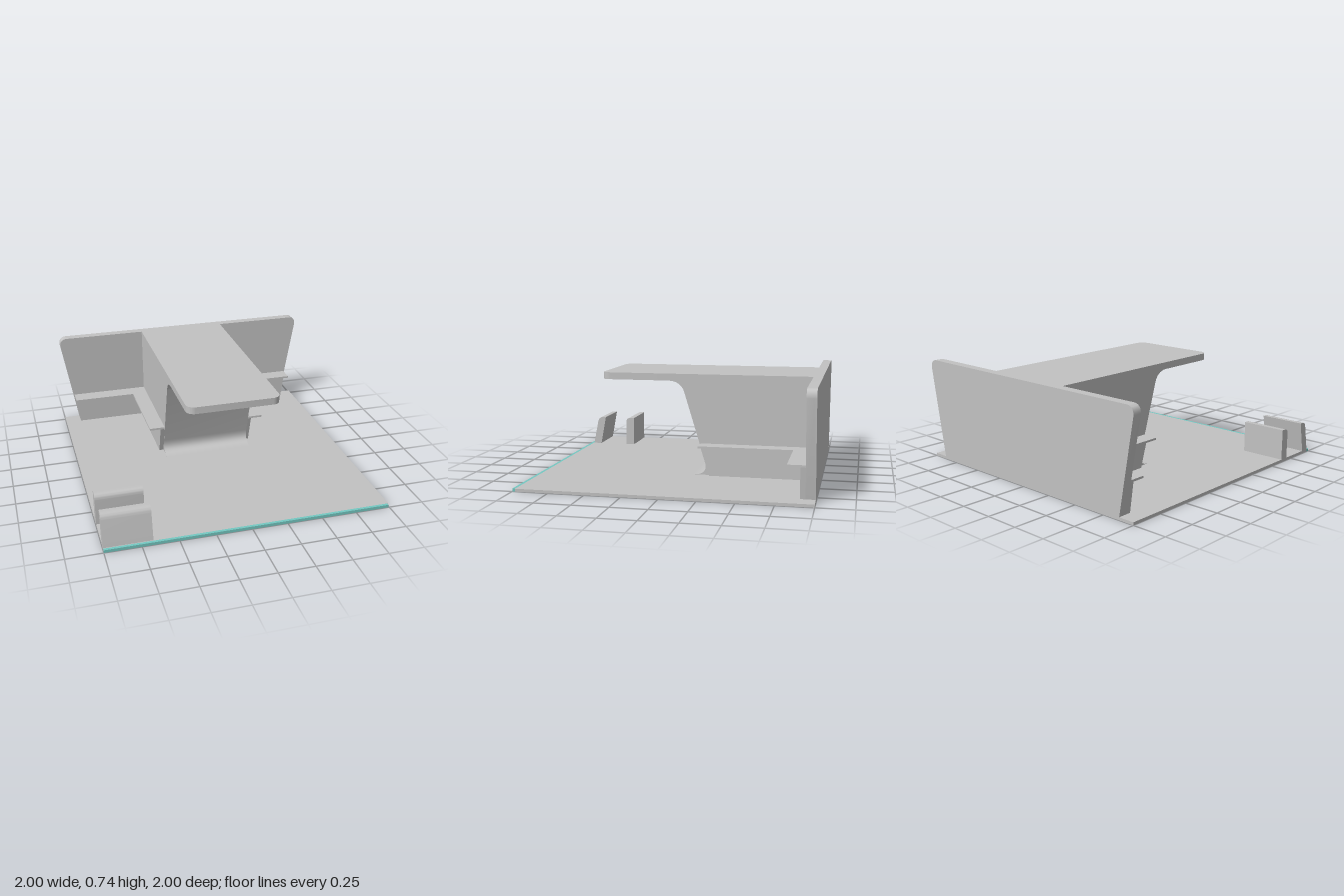
import * as THREE from 'three';
import { toCreasedNormals } from 'three/addons/utils/BufferGeometryUtils.js';

const grey = new THREE.MeshStandardMaterial({ color: 0xc2c2c2, side: THREE.DoubleSide });
grey.name = 'light grey';
const teal = new THREE.MeshStandardMaterial({ color: 0x74c8c2 });
teal.name = 'teal';

export function createModel() {
  const group = new THREE.Group();
  const add = (name, geometry, material = grey) => {
    const mesh = new THREE.Mesh(geometry, material);
    mesh.name = name;
    group.add(mesh);
    return mesh;
  };
  // box from its minimum and maximum corners
  const box = (name, a, b, material) => add(name, new THREE.BoxGeometry(b[0] - a[0], b[1] - a[1], b[2] - a[2])
    .translate((a[0] + b[0]) / 2, (a[1] + b[1]) / 2, (a[2] + b[2]) / 2), material);
  const extrude = (shape, depth) => toCreasedNormals(
    new THREE.ExtrudeGeometry(shape, { depth, bevelEnabled: false, curveSegments: 10 }), 0.6);
  const polygon = (points) => new THREE.Shape(points.map(([x, y]) => new THREE.Vector2(x, y)));
  // plan drawn as (x, z), raised from y0
  const plan = (name, shape, y0, height) => add(name, extrude(shape, height).rotateX(Math.PI / 2).translate(0, y0 + height, 0));
  // side profile drawn as (z, y), spanning x0 to x1
  const profile = (name, shape, x0, x1) => add(name, extrude(shape, x1 - x0).rotateY(-Math.PI / 2).translate(x1, 0, 0));

  const W = 0.333, TOP = 0.74, FLOOR = 0.02;

  // floor slab, open beneath the hollow pedestal
  plan('floor', polygon([[-1, -1], [-W, -1], [-W, -0.1], [W, -0.1], [W, -1], [1, -1], [1, 0.98], [-1, 0.98]]), 0, FLOOR);
  box('frontEdgeStrip', [-1, 0, 0.98], [0.993, FLOOR, 1], teal);

  // back panel: full skin plus a thick wing on each side
  const panel = new THREE.Shape();
  panel.moveTo(-0.88, 0);
  panel.lineTo(-0.998, 0.68);
  panel.quadraticCurveTo(-1, TOP, -0.94, TOP);
  panel.lineTo(0.94, TOP);
  panel.quadraticCurveTo(1, TOP, 0.998, 0.68);
  panel.lineTo(0.88, 0);
  add('backPanelSkin', extrude(panel, 0.01).translate(0, 0, -1));
  for (const s of [1, -1]) {
    const wing = new THREE.Shape();
    wing.moveTo(s * W, FLOOR);
    wing.lineTo(s * 0.883, FLOOR);
    wing.lineTo(s * 0.998, 0.68);
    wing.quadraticCurveTo(s, TOP, s * 0.94, TOP);
    wing.lineTo(s * W, TOP);
    add(s > 0 ? 'backPanelLeft' : 'backPanelRight', extrude(wing, 0.055).translate(0, 0, -0.99));
  }

  // front curve of the pedestal as (z, y)
  const curve = new THREE.Path();
  curve.moveTo(-0.1, FLOOR);
  curve.quadraticCurveTo(-0.209, FLOOR, -0.18, 0.12);
  curve.lineTo(-0.03, 0.61);
  curve.quadraticCurveTo(-0.006, 0.69, 0.09, 0.69);
  const points = curve.getPoints(12);

  // pedestal front skin
  const skin = [];
  for (let i = 0; i < points.length - 1; i++) {
    const a = points[i], b = points[i + 1];
    skin.push(-W, a.y, a.x, W, a.y, a.x, W, b.y, b.x, -W, a.y, a.x, W, b.y, b.x, -W, b.y, b.x);
  }
  const skinGeometry = new THREE.BufferGeometry();
  skinGeometry.setAttribute('position', new THREE.Float32BufferAttribute(skin, 3));
  add('pedestalFront', toCreasedNormals(skinGeometry, 0.6));

  // pedestal side walls
  const wall = new THREE.Shape([new THREE.Vector2(-0.99, FLOOR), ...points,
    new THREE.Vector2(0.09, TOP), new THREE.Vector2(-0.99, TOP)]);
  for (const s of [1, -1]) {
    const geometry = new THREE.ShapeGeometry(wall).rotateY(s > 0 ? -Math.PI / 2 : -Math.PI / 2);
    add(s > 0 ? 'pedestalLeftWall' : 'pedestalRightWall', geometry.translate(s * W, 0, 0));
  }
  box('pedestalTop', [-W, TOP - 0.01, -0.99], [W, TOP, 0.09]);

  // overhanging canopy with rounded front corners
  const canopy = new THREE.Shape();
  canopy.moveTo(-W, 0.09);
  canopy.lineTo(W, 0.09);
  canopy.lineTo(W, 0.515);
  canopy.absarc(W - 0.06, 0.515, 0.06, 0, Math.PI / 2);
  canopy.lineTo(-W + 0.06, 0.575);
  canopy.absarc(-W + 0.06, 0.515, 0.06, Math.PI / 2, Math.PI);
  plan('canopy', canopy, 0.69, 0.05);

  // L-shaped shelves with recessed supports
  for (const s of [1, -1]) {
    const side = s > 0 ? 'left' : 'right';
    plan(side + 'Shelf', polygon([[W, -0.935], [0.915, -0.935], [0.915, -0.815], [0.447, -0.815],
      [0.447, -0.15], [W, -0.15]].map(([x, z]) => [s * x, z])), 0.232, 0.015);
    add(side + 'BackSupport', extrude(polygon([[W, FLOOR], [0.882, FLOOR], [0.91, 0.232], [W, 0.232]]
      .map(([x, y]) => [s * x, y])), 0.035).translate(0, 0, -0.935));
    const support = polygon([[-0.93, FLOOR], [-0.215, FLOOR], [-0.15, 0.232], [-0.93, 0.232]]);
    profile(side + 'SideSupport', support, s > 0 ? W : -0.365, s > 0 ? 0.36 : -W);
  }

  // two small upright holders at the front corner
  const leaning = new THREE.Shape();
  leaning.moveTo(0.975, FLOOR);
  leaning.lineTo(0.938, 0.205);
  leaning.quadraticCurveTo(0.93, 0.245, 0.895, 0.245);
  leaning.lineTo(0.87, 0.245);
  leaning.lineTo(0.912, FLOOR);
  profile('leaningHolder', leaning, -1, -0.67);
  const upright = new THREE.Shape();
  upright.moveTo(0.69, FLOOR);
  upright.lineTo(0.69, 0.205);
  upright.quadraticCurveTo(0.69, 0.245, 0.65, 0.245);
  upright.lineTo(0.622, 0.245);
  upright.lineTo(0.622, FLOOR);
  profile('uprightHolder', upright, -1, -0.67);

  return group;
}
